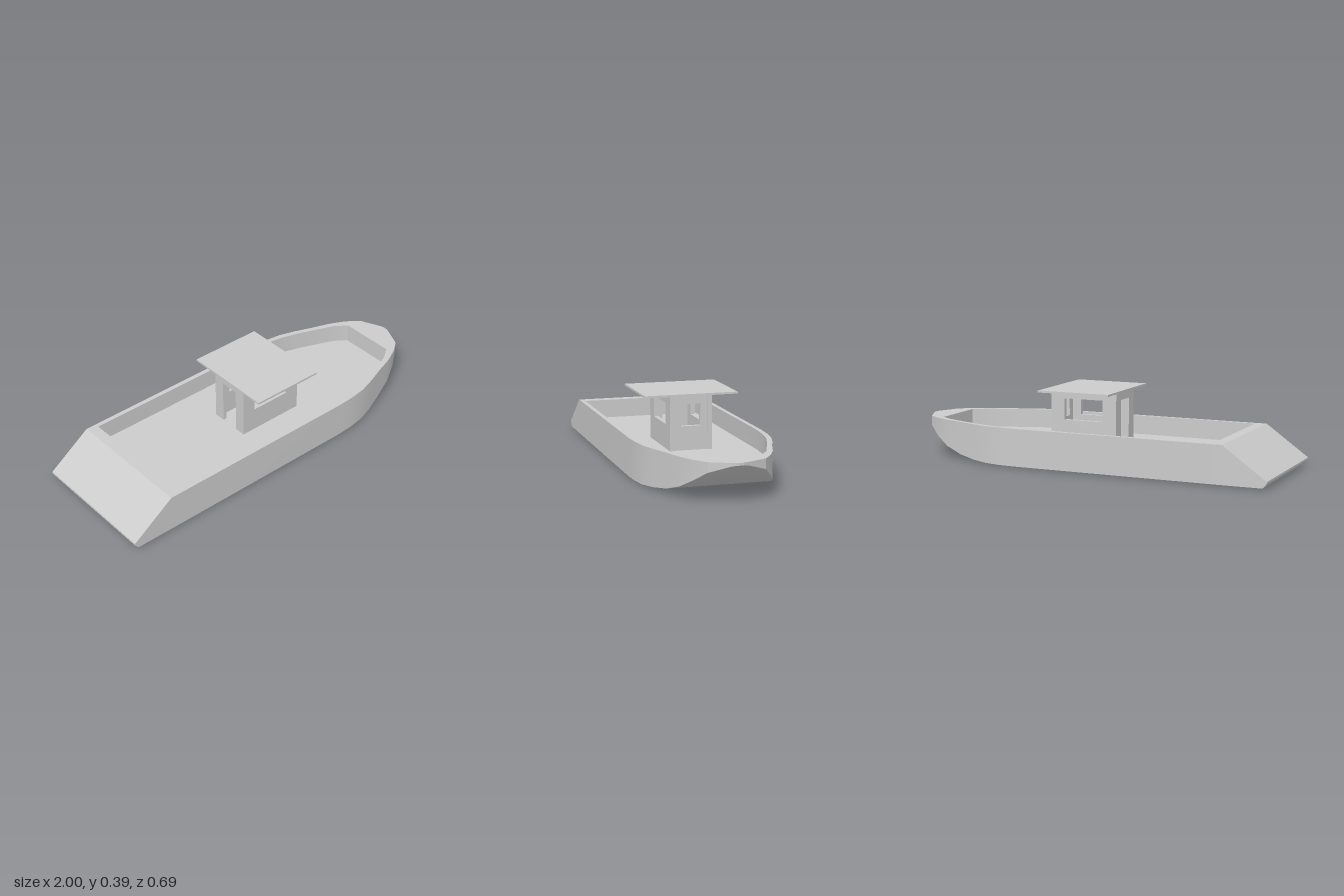
import * as THREE from 'three';
import { toCreasedNormals } from 'three/addons/utils/BufferGeometryUtils.js';

const DECK = 0.1, RIM = 0.2, ROOF = 0.378;

export function createModel() {
  const boat = new THREE.Group();
  boat.name = 'boat';
  const material = new THREE.MeshStandardMaterial({ color: 0xcccccc, side: THREE.DoubleSide });

  function add(parent, name, geometry, x = 0, y = 0, z = 0) {
    const mesh = new THREE.Mesh(geometry, material);
    mesh.name = name;
    mesh.position.set(x, y, z);
    parent.add(mesh);
    return mesh;
  }

  // Hull stations: [x, half width, bottom y, top y]
  const stations = [
    [-1, 0.345, 0.03, 0.04], [-0.98, 0.345, 0.007, 0.054], [-0.775, 0.345, 0.006, RIM],
    [0.33, 0.345, 0.006, RIM], [0.42, 0.34, 0.006, RIM], [0.51, 0.328, 0.008, RIM],
    [0.6, 0.3, 0.014, RIM], [0.7, 0.262, 0.028, RIM], [0.8, 0.228, 0.06, RIM],
    [0.88, 0.188, 0.104, RIM], [0.945, 0.14, 0.15, RIM], [0.99, 0.04, 0.183, RIM],
    [1, 0.014, 0.187, RIM],
  ];
  const positions = [];
  const quad = (a, b, c, d) => positions.push(...a, ...b, ...c, ...a, ...c, ...d);
  const corners = ([x, w, lo, hi]) => [[x, lo, w], [x, hi, w], [x, hi, -w], [x, lo, -w]];

  for (let i = 0; i < stations.length - 1; i++) {
    const a = corners(stations[i]), b = corners(stations[i + 1]);
    quad(a[0], b[0], b[1], a[1]); // +z side
    quad(a[2], b[2], b[3], a[3]); // -z side
    quad(a[3], b[3], b[0], a[0]); // bottom
    if (i < 2) quad(a[1], b[1], b[2], a[2]); // sloping stern
  }
  const stern = corners(stations[0]), bow = corners(stations.at(-1));
  quad(stern[0], stern[1], stern[2], stern[3]);
  quad(bow[3], bow[2], bow[1], bow[0]);
  const hull = new THREE.BufferGeometry();
  hull.setAttribute('position', new THREE.Float32BufferAttribute(positions, 3));
  add(boat, 'hull', toCreasedNormals(hull, 0.35));

  // Plan outlines mirrored about the centre line
  const outline = (half) => [
    ...half.map(([x, w]) => new THREE.Vector2(x, w)),
    ...half.slice().reverse().map(([x, w]) => new THREE.Vector2(x, -w)),
  ];
  const well = outline([[-0.72, 0.322], [0.32, 0.322], [0.42, 0.314], [0.51, 0.3],
    [0.6, 0.272], [0.7, 0.235], [0.8, 0.195], [0.862, 0.15]]);

  // Gunwale with the open well cut out
  const rim = new THREE.Shape(outline(stations.slice(2)));
  rim.holes.push(new THREE.Path(well));
  add(boat, 'gunwale', new THREE.ShapeGeometry(rim).rotateX(-Math.PI / 2), 0, RIM);
  add(boat, 'deck', new THREE.ShapeGeometry(new THREE.Shape(well)).rotateX(-Math.PI / 2), 0, DECK);

  // Inner bulwark, facing into the well
  const wall = [];
  well.forEach((p, i) => {
    const q = well[(i + 1) % well.length];
    wall.push(p.x, DECK, p.y, p.x, RIM, p.y, q.x, RIM, q.y,
      p.x, DECK, p.y, q.x, RIM, q.y, q.x, DECK, q.y);
  });
  // The outline runs clockwise, so swap two corners to face inward
  for (let i = 0; i < wall.length; i += 9) {
    const second = wall.slice(i + 3, i + 6);
    wall.splice(i + 3, 6, ...wall.slice(i + 6, i + 9), ...second);
  }
  const bulwark = new THREE.BufferGeometry();
  bulwark.setAttribute('position', new THREE.Float32BufferAttribute(wall, 3));
  add(boat, 'bulwark', toCreasedNormals(bulwark, 0.35));

  // Shallow wedge under the hull
  const wedge = new THREE.Shape([[-0.12, 0], [0.35, 0.006], [-0.12, 0.008]].map(p => new THREE.Vector2(...p)));
  add(boat, 'keelWedge', new THREE.ExtrudeGeometry(wedge, { depth: 0.114, bevelEnabled: false }), 0, 0, -0.057);

  // Wheelhouse walls, each a panel with one opening
  const cabin = new THREE.Group();
  cabin.name = 'wheelhouse';
  boat.add(cabin);
  const rect = (Type, x0, x1, y0, y1) =>
    new Type([[x0, y0], [x1, y0], [x1, y1], [x0, y1]].map(p => new THREE.Vector2(...p)));
  function panel(x0, x1, opening, depth) {
    const shape = rect(THREE.Shape, x0, x1, DECK, ROOF);
    shape.holes.push(rect(THREE.Path, ...opening));
    return new THREE.ExtrudeGeometry(shape, { depth, bevelEnabled: false });
  }
  const T = 0.022;
  for (const [name, z] of [['leftWall', -0.11], ['rightWall', 0.11 - T]]) {
    add(cabin, name, panel(-0.125, 0.242, [-0.05, 0.166, 0.225, 0.336], T), 0, 0, z);
  }
  const inner = 0.11 - T;
  add(cabin, 'frontWall', panel(-inner, inner, [-0.05, 0.05, 0.223, 0.336], T).rotateY(Math.PI / 2), 0.236 - T);
  add(cabin, 'doorWall', panel(-inner, inner, [-0.05, 0.05, DECK + 0.0005, 0.336], T).rotateY(Math.PI / 2), -0.125);
  add(cabin, 'roof', new THREE.BoxGeometry(0.392, 0.01, 0.486), 0.056, ROOF + 0.005);

  return boat;
}
